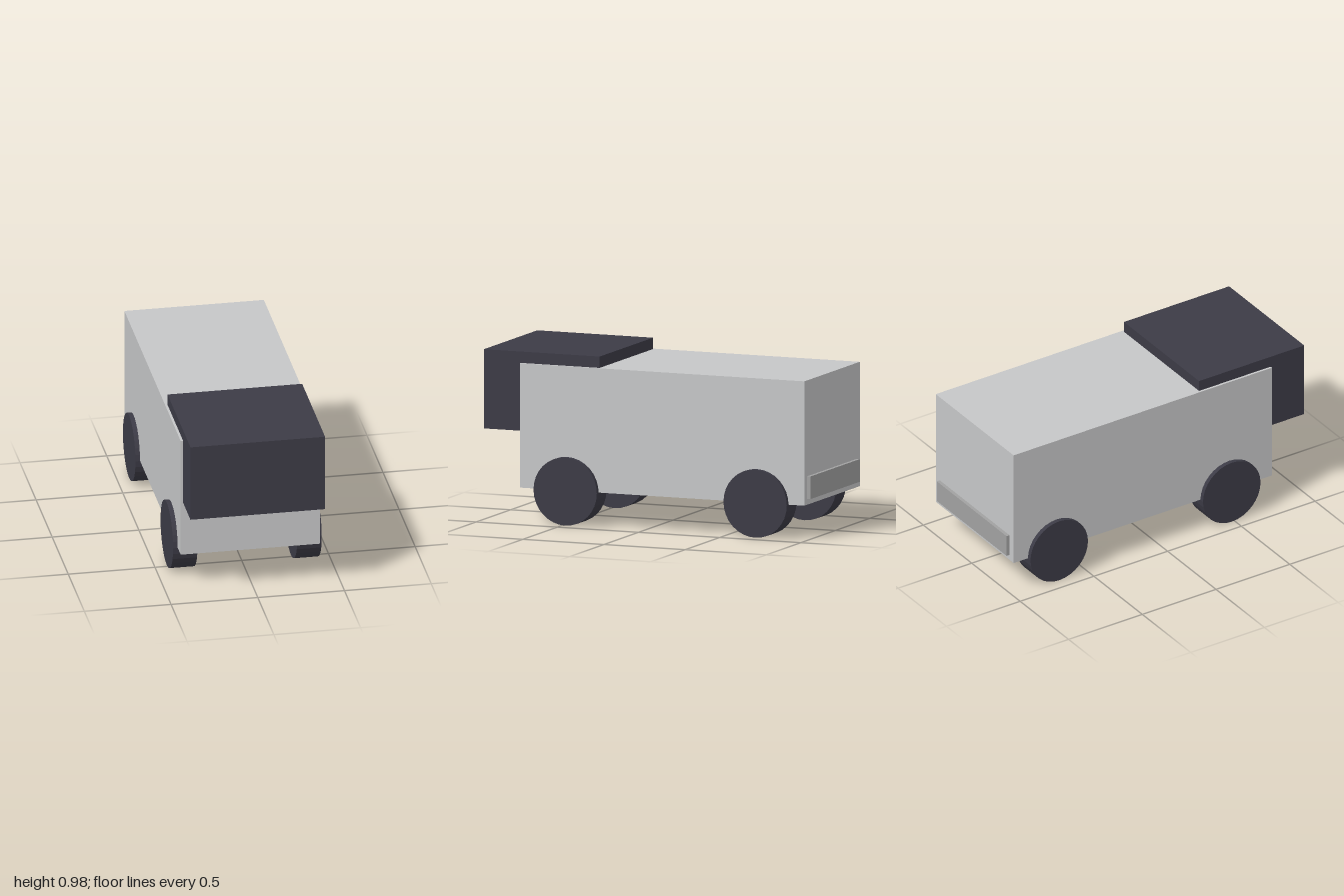
import * as THREE from 'three';

const material = (name, color, flatShading = false) => {
  const m = new THREE.MeshStandardMaterial({ color, flatShading });
  m.name = name;
  return m;
};

export function createModel() {
  const van = new THREE.Group();
  van.name = 'van';
  const lightGrey = material('light grey', 0xc6c7c8);
  const midGrey = material('mid grey', 0xa1a1a1);
  const charcoal = material('charcoal', 0x3c3b46, true);

  // Box given by its half width and its y and z extents
  const addBox = (name, mat, halfWidth, y0, y1, z0, z1) => {
    const mesh = new THREE.Mesh(new THREE.BoxGeometry(halfWidth * 2, y1 - y0, z1 - z0), mat);
    mesh.position.set(0, (y0 + y1) / 2, (z0 + z1) / 2);
    mesh.name = name;
    van.add(mesh);
  };

  addBox('body', lightGrey, 0.402, 0.197, 0.91, -0.98, 0.772);
  addBox('cabWindshield', charcoal, 0.388, 0.521, 0.975, 0.287, 1);
  addBox('rearBumper', midGrey, 0.36, 0.23, 0.36, -1, -0.97);

  // Four wheels on transverse axles, set partly into the body
  const radius = 0.195;
  const wheelGeometry = new THREE.CylinderGeometry(radius, radius, 0.141, 32).rotateZ(Math.PI / 2);
  for (const [end, z] of [['front', 0.482], ['rear', -0.688]]) {
    for (const [side, sign] of [['Left', 1], ['Right', -1]]) {
      const wheel = new THREE.Mesh(wheelGeometry, charcoal);
      wheel.position.set(sign * 0.358, radius, z);
      wheel.name = `${end}${side}Wheel`;
      van.add(wheel);
    }
  }
  return van;
}
